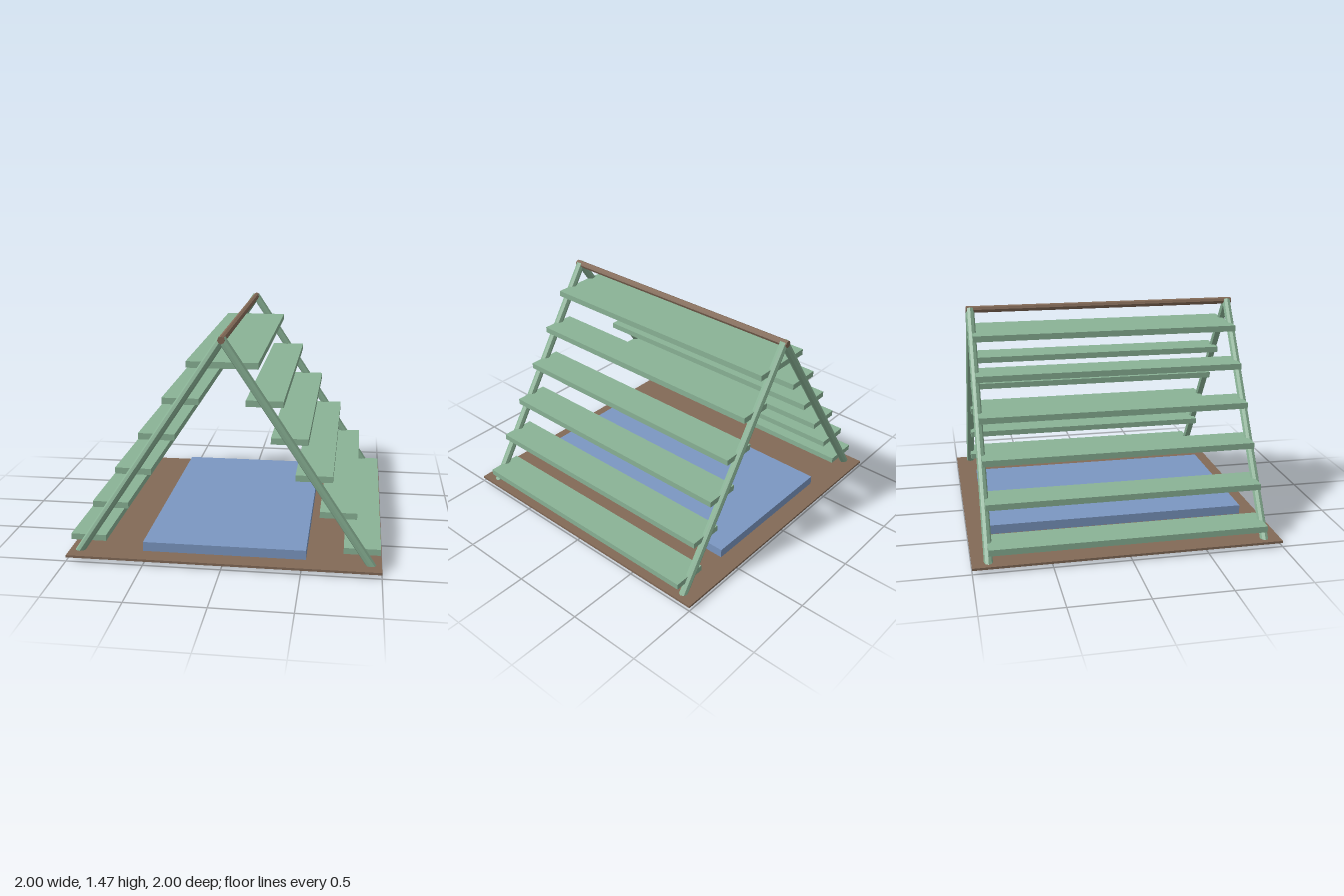
import * as THREE from 'three';

const material = (color) => new THREE.MeshStandardMaterial({ color, flatShading: true });

export function createModel() {
  const model = new THREE.Group();
  model.name = 'slattedTent';
  const green = material(0x8ab396);
  const brown = material(0x836a57);
  const blue = material(0x7b97c2);

  const add = (name, geometry, mat, x, y, z) => {
    const mesh = new THREE.Mesh(geometry, mat);
    mesh.name = name;
    mesh.position.set(x, y, z);
    model.add(mesh);
    return mesh;
  };

  // Floor board and mattress
  add('floorBoard', new THREE.BoxGeometry(2, 0.015, 2), brown, 0, 0.032, 0);
  add('mattress', new THREE.BoxGeometry(1.05, 0.062, 1.74), blue, 0, 0.07, 0);

  // Ridge pole along the top
  const ridge = new THREE.CylinderGeometry(0.023, 0.023, 1.85, 8).rotateX(Math.PI / 2);
  add('ridgePole', ridge, brown, 0, 1.442, 0);

  // Leaning poles, a crossed pair at each end
  const footX = 0.948, footY = 0.015, topY = 1.445;
  const rise = topY - footY;
  const poleGeometry = new THREE.CylinderGeometry(0.028, 0.028, Math.hypot(footX, rise), 8);
  for (const side of [1, -1]) {
    const sideName = side > 0 ? 'left' : 'right';
    for (const end of [1, -1]) {
      const pole = add(`${sideName}${end > 0 ? 'Front' : 'Back'}Pole`, poleGeometry, green,
        side * footX / 2, (topY + footY) / 2, end * 0.896);
      pole.rotation.z = side * Math.atan2(footX, rise);
    }

    // Horizontal slats stepping up the slope
    const slatGeometry = new THREE.BoxGeometry(0.23, 0.04, 1.79);
    for (let i = 0; i < 6; i++) {
      add(`${sideName}Slat${i + 1}`, slatGeometry, green,
        side * (0.875 - i * 0.154), 0.126 + i * 0.2318, 0);
    }
  }
  return model;
}
